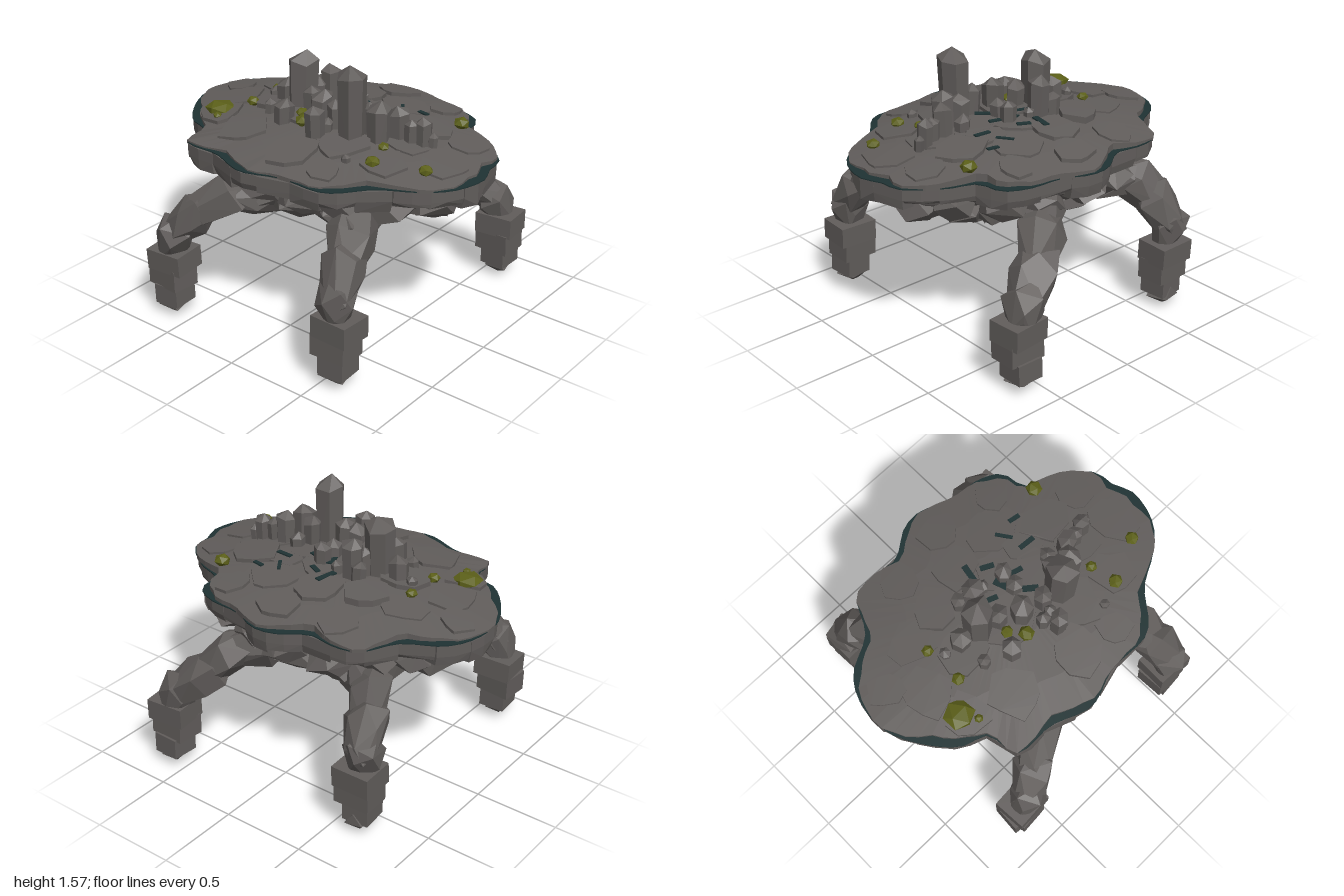
import * as THREE from 'three';
import { ConvexGeometry } from 'three/addons/geometries/ConvexGeometry.js';

const V = (x, y, z) => new THREE.Vector3(x, y, z);

export function createModel() {
  const model = new THREE.Group();
  const mat = (name, color) => Object.assign(new THREE.MeshStandardMaterial({ color }), { name });
  const stone = mat('stone', 0x615d5b);
  const shade = mat('dark hollow', 0x4a4948);
  const teal = mat('dark teal', 0x1f3233);
  const moss = mat('moss', 0x5c6019);

  // Seeded jitter
  let seed = 7;
  const rnd = (a, b) => {
    seed = (seed * 16807) % 2147483647;
    return a + (b - a) * (seed / 2147483647);
  };

  // Faceted mesh helper
  const add = (name, geo, material, parent = model) => {
    const g = geo.index ? geo.toNonIndexed() : geo;
    g.computeVertexNormals();
    const m = new THREE.Mesh(g, material);
    m.name = name;
    parent.add(m);
    return m;
  };

  // Plateau outline as x, z
  const outline = [
    [-0.07, -1], [0.14, -0.98], [0.27, -0.9], [0.39, -0.7], [0.59, -0.58], [0.62, -0.42], [0.6, -0.28],
    [0.71, -0.1], [0.72, 0.03], [0.65, 0.19], [0.63, 0.4], [0.56, 0.53], [0.41, 0.57], [0.35, 0.72],
    [0.19, 0.92], [0.06, 0.94], [-0.05, 0.985], [-0.26, 0.93], [-0.39, 0.8], [-0.5, 0.61], [-0.7, 0.42],
    [-0.71, 0.13], [-0.78, -0.1], [-0.7, -0.34], [-0.68, -0.58], [-0.5, -0.62], [-0.44, -0.77], [-0.23, -0.94],
  ];
  const curve = new THREE.CatmullRomCurve3(outline.map(([x, z]) => V(x, 0, z)), true, 'centripetal');
  const N = 84;
  const edge = curve.getSpacedPoints(N).slice(0, N);
  const domeY = (x, z) => 1.075 + 0.098 * Math.max(0, 1 - (x / 0.74) ** 2 - (z / 0.97) ** 2);

  // Loft through scaled outlines, from top centre outward and down
  const loft = (rings) => {
    const pos = [], idx = [];
    rings.forEach(([s, y], k) => edge.forEach((p, i) => {
      const f = typeof s === 'function' ? s(i) : s;
      pos.push(p.x * f, typeof y === 'function' ? y(p.x * f, p.z * f) : y, p.z * f);
      if (k === 0) return;
      const j = (i + 1) % N, a = (k - 1) * N, b = k * N;
      idx.push(a + i, a + j, b + j, a + i, b + j, b + i);
    }));
    const g = new THREE.BufferGeometry();
    g.setAttribute('position', new THREE.Float32BufferAttribute(pos, 3));
    g.setIndex(idx);
    return g;
  };

  // Top surface with a ragged edge, dark lip below it, core and hollow floor
  const ragged = (i) => Math.min(1.002, 0.974 - 0.033 * Math.cos(14 * Math.PI * (i / N - 0.08)) + 0.009 * Math.sin(i * 2.1));
  add('topSurface', loft([[0.001, domeY], [0.35, domeY], [0.7, domeY], [ragged, domeY], [ragged, 1.055]]), stone);
  add('rimLip', loft([[0.85, 1.07], [1, 1.066], [1, 1.06], [0.9, 1.05]]), teal);
  add('core', loft([[0.95, 1.05], [0.88, 0.93], [0.7, 0.83], [0.52, 0.745]]), stone);
  add('hollowFloor', loft([[0.52, 0.745], [0.001, 0.75]]), shade);

  // Rim blocks along the edge
  for (let i = 0; i < N; i += 3) {
    const pts = [], low = rnd(0.92, 0.975), out = rnd(0.975, 1), top = rnd(1.05, 1.062);
    for (const k of [i, i + 1.5, i + 3]) {
      const p = curve.getPointAt((k / N) % 1);
      for (const [s, y] of [[out, top], [out, 0.99], [out * rnd(0.97, 1), low], [0.85, top], [0.82, low - 0.02]])
        pts.push(V(p.x * s, y, p.z * s));
    }
    add('rimBlock', new ConvexGeometry(pts), stone);
  }

  // Jittered points of a rough boulder
  const boulder = (c, rx, ry, rz) => {
    const turn = rnd(0, 6);
    return Array.from({ length: 12 }, (_, i) => {
      const y = 1 - (2 * i + 1) / 12, r = Math.sqrt(1 - y * y), a = i * 2.4 + turn, j = rnd(0.85, 1.2);
      return V(c.x + Math.cos(a) * r * rx * j, c.y + y * ry * j, c.z + Math.sin(a) * r * rz * j);
    });
  };

  // Rings of large underside boulders
  for (const [count, s, y, r, h] of [[17, 0.77, 0.9, 0.145, 0.085], [14, 0.62, 0.83, 0.16, 0.1], [12, 0.52, 0.775, 0.115, 0.06]])
    for (let i = 0; i < count; i++) {
      const p = curve.getPointAt((i + rnd(0, 0.4)) / count);
      const c = V(p.x * s, y + rnd(-0.015, 0.015), p.z * s);
      add('undersideRock', new ConvexGeometry(boulder(c, r, h, r)), stone);
    }

  // Hanging spike
  add('hangingSpike', new ConvexGeometry([
    V(-0.03, 0.53, 0.15), V(-0.11, 0.74, 0.17), V(-0.05, 0.74, 0.27), V(0.09, 0.74, 0.24),
    V(0.11, 0.74, 0.08), V(0, 0.74, -0.05), V(-0.08, 0.74, 0.02),
  ]), stone);

  // Legs: arched boulder chain, stacked blocks and a pointed foot
  const legs = {
    frontRightLeg: [[-0.32, 0.79, 0.36, 0.15], [-0.53, 0.79, 0.48, 0.15], [-0.69, 0.67, 0.55, 0.135], [-0.79, 0.54, 0.575, 0.125], [-0.79, 0.42, 0.575, 0.11]],
    frontLeftLeg: [[0.46, 0.81, 0.17, 0.15], [0.6, 0.77, 0.29, 0.14], [0.69, 0.63, 0.4, 0.14], [0.76, 0.5, 0.54, 0.13], [0.78, 0.4, 0.59, 0.12]],
    backLeftLeg: [[0.32, 0.79, -0.42, 0.15], [0.45, 0.78, -0.55, 0.14], [0.57, 0.66, -0.64, 0.14], [0.66, 0.52, -0.67, 0.125], [0.65, 0.42, -0.65, 0.11]],
    backRightLeg: [[-0.48, 0.81, -0.2, 0.15], [-0.62, 0.79, -0.32, 0.14], [-0.73, 0.67, -0.48, 0.135], [-0.79, 0.54, -0.6, 0.125], [-0.8, 0.42, -0.64, 0.11]],
  };
  for (const [name, path] of Object.entries(legs)) {
    const leg = new THREE.Group();
    leg.name = name;
    model.add(leg);
    for (let i = 0; i < path.length - 1; i++) {
      const pts = [path[i], path[i + 1]].flatMap(([x, y, z, r], k) => {
        const q = r * (k ? 0.72 : 0.93);
        return boulder(V(x, y, z), q, q, q);
      });
      add('legRock', new ConvexGeometry(pts), stone, leg);
    }
    const [fx, , fz] = path[4];
    for (const [y, w, h, d] of [[0.36, 0.2, 0.125, 0.235], [0.25, 0.175, 0.13, 0.22], [0.135, 0.165, 0.12, 0.16]]) {
      const b = add('legBlock', new THREE.BoxGeometry(w, h, d), stone, leg);
      b.position.set(fx + rnd(-0.02, 0.02), y, fz + rnd(-0.01, 0.01));
      b.rotation.set(rnd(-0.04, 0.04), rnd(-0.1, 0.1), rnd(-0.04, 0.04));
    }
    add('footTip', new ConvexGeometry([
      V(fx, 0, fz), V(fx + 0.03, 0.02, fz - 0.02), V(fx - 0.07, 0.06, fz - 0.05), V(fx + 0.07, 0.07, fz - 0.06),
      V(fx + 0.08, 0.06, fz + 0.05), V(fx - 0.05, 0.05, fz + 0.08), V(fx - 0.07, 0.13, fz), V(fx + 0.07, 0.13, fz),
    ]), stone, leg);
  }

  // Irregular slabs lying on the dome
  const slab = (x, z, r, lift) => {
    const pts = [], turn = rnd(0, 6);
    for (let i = 0; i < 8; i++) {
      const a = turn + ((i + rnd(-0.25, 0.25)) / 8) * Math.PI * 2, j = r * rnd(0.82, 1.2);
      const px = x + Math.cos(a) * j, pz = z + Math.sin(a) * j;
      pts.push(V(px, domeY(px, pz) + lift, pz), V(px, domeY(px, pz) - 0.04, pz));
    }
    add('topSlab', new ConvexGeometry(pts), stone);
  };
  for (const [x, z, r] of [
    [0.15, -0.56, 0.13], [-0.12, -0.7, 0.14], [-0.45, -0.36, 0.15], [-0.52, 0.04, 0.14], [-0.32, 0.24, 0.14],
    [-0.33, 0.52, 0.12], [-0.1, 0.76, 0.15], [0.16, 0.72, 0.12], [0.48, 0.36, 0.1], [0.53, 0, 0.12],
    [0.47, -0.38, 0.11], [0.06, -0.84, 0.1], [-0.56, 0.3, 0.1], [-0.35, -0.63, 0.12], [0.17, 0.47, 0.14],
    [-0.06, 0.5, 0.13], [0.32, 0.19, 0.14], [0.3, -0.1, 0.13],
  ]) slab(x, z, r, rnd(0.008, 0.024));
  for (const [x, z, r, lift] of [
    [0.2, -0.35, 0.12, 0.036], [-0.02, 0.22, 0.13, 0.014], [-0.1, -0.1, 0.17, 0.018], [-0.08, -0.4, 0.13, 0.025],
    [0.1, 0.05, 0.13, 0.014], [0.13, 0.27, 0.1, 0.014],
  ]) slab(x, z, r, lift);

  // Dark cracks between the slabs: x, z, length, width, turn
  for (const [x, z, len, w, turn] of [
    [0.02, 0.02, 0.13, 0.045, 0.3], [0.2, -0.07, 0.13, 0.035, -0.2], [0.17, 0.03, 0.08, 0.03, 1.1], [0.12, 0.29, 0.1, 0.028, 1.5],
    [0.24, 0.23, 0.1, 0.02, 0.6], [0.28, 0.35, 0.07, 0.025, 1.4], [0.02, -0.1, 0.1, 0.03, 1.2], [-0.09, 0.11, 0.09, 0.035, 0.9],
    [0.04, 0.12, 0.09, 0.028, 1.3],
  ]) {
    const c = add('crack', new THREE.BoxGeometry(len, 0.008, w), teal);
    c.position.set(x, domeY(x, z) + 0.018, z);
    c.rotation.y = turn;
  }

  // Pointed stone crystals: x, z, radius, top
  for (const [x, z, r, top] of [
    [-0.21, 0.21, 0.09, 1.575], [-0.06, -0.26, 0.09, 1.505], [0.08, -0.16, 0.065, 1.4], [-0.14, 0.35, 0.068, 1.38],
    [-0.05, 0.42, 0.06, 1.345], [-0.05, 0.5, 0.045, 1.28], [-0.03, 0.57, 0.048, 1.3], [-0.02, 0.62, 0.03, 1.22],
    [-0.04, -0.39, 0.062, 1.31], [-0.28, -0.22, 0.058, 1.29], [-0.17, -0.04, 0.07, 1.36], [-0.34, 0.07, 0.055, 1.34],
    [0.07, 0.06, 0.052, 1.3], [-0.02, 0.04, 0.052, 1.29], [-0.22, -0.37, 0.036, 1.23], [0.12, -0.23, 0.048, 1.29],
    [-0.27, 0.08, 0.04, 1.25], [-0.1, -0.14, 0.06, 1.33], [-0.11, 0.27, 0.055, 1.34], [-0.03, 0.31, 0.05, 1.26],
    [-0.43, 0.35, 0.028, 1.17], [0.1, -0.08, 0.035, 1.24], [-0.2, 0.11, 0.055, 1.34], [-0.28, 0.02, 0.04, 1.27],
    [-0.04, -0.48, 0.035, 1.22], [0.02, -0.2, 0.05, 1.33],
  ]) {
    const base = 1.08, h = top - base, tip = r * 0.7, turn = rnd(0, 6), tilt = 0.012 / h;
    const pts = [V(rnd(-0.3, 0.3) * r, h, rnd(-0.3, 0.3) * r)];
    for (let i = 0; i < 6; i++) {
      const a = turn + (i * Math.PI) / 3, j = r * rnd(0.88, 1.08);
      pts.push(V(Math.cos(a) * j * 0.9, 0, Math.sin(a) * j * 0.9), V(Math.cos(a) * j, h - tip * rnd(0.7, 1.3), Math.sin(a) * j));
    }
    const c = add('crystal', new ConvexGeometry(pts), stone);
    c.position.set(x, base, z);
    c.rotation.set(rnd(-tilt, tilt), 0, rnd(-tilt, tilt));
  }

  // Moss clumps
  for (const [x, z, r] of [
    [-0.32, -0.66, 0.092], [-0.18, -0.53, 0.039], [0.05, -0.54, 0.035], [-0.18, -0.16, 0.038], [-0.26, -0.09, 0.047],
    [-0.38, 0.49, 0.044], [-0.23, 0.45, 0.034], [0.34, 0.57, 0.049], [-0.26, 0.75, 0.042], [-0.41, -0.6, 0.026],
  ]) {
    const m = add('mossClump', new THREE.IcosahedronGeometry(r, 0), moss);
    m.scale.y = r > 0.06 ? 0.42 : 0.75;
    m.position.set(x, domeY(x, z) + 0.022, z);
    m.rotation.y = rnd(0, 3);
  }
  return model;
}
